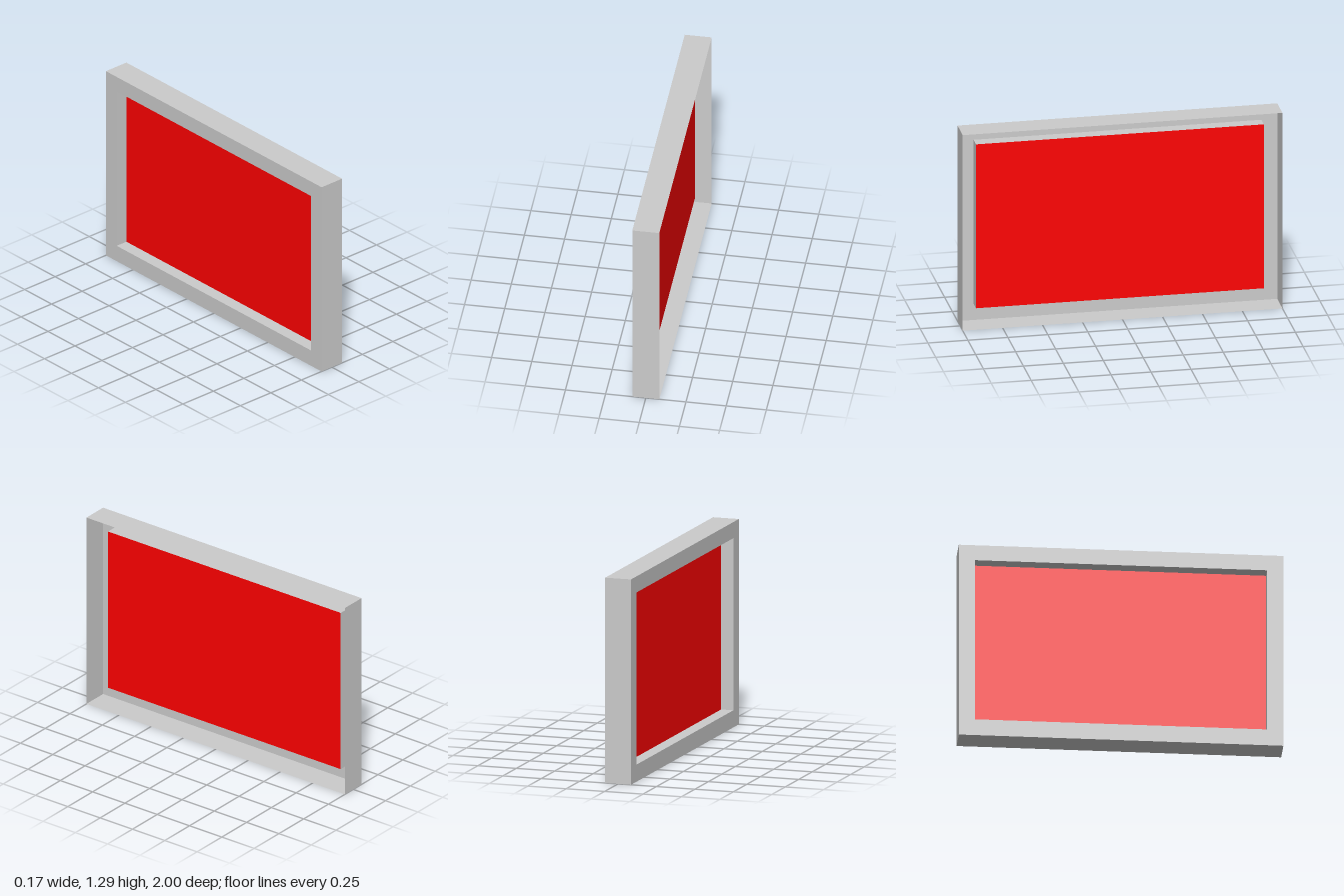
import * as THREE from 'three';

const grey = new THREE.MeshStandardMaterial({ color: 0xcccccc, side: THREE.DoubleSide });
const red = new THREE.MeshStandardMaterial({ color: 0xff0000, side: THREE.DoubleSide });

const BACK = -0.084, OPEN = 0.084, PANEL = -0.004;
const outer = { y0: 0, y1: 1.286, z: 1 };
const inner = { y0: 0.107, y1: 1.185, z: 0.9 };

// Four thin walls around a rectangle, running from x0 to x1
function sleeve(name, r, x0, x1) {
  const group = new THREE.Group();
  group.name = name;
  const depth = x1 - x0, height = r.y1 - r.y0, cx = (x0 + x1) / 2, cy = (r.y0 + r.y1) / 2;
  for (const s of [1, -1]) {
    const flat = new THREE.Mesh(new THREE.PlaneGeometry(depth, 2 * r.z), grey);
    flat.name = s > 0 ? 'topWall' : 'bottomWall';
    flat.rotation.x = -s * Math.PI / 2;
    flat.position.set(cx, s > 0 ? r.y1 : r.y0, 0);
    const side = new THREE.Mesh(new THREE.PlaneGeometry(depth, height), grey);
    side.name = s > 0 ? 'frontWall' : 'rearWall';
    side.rotation.y = s > 0 ? 0 : Math.PI;
    side.position.set(cx, cy, s * r.z);
    group.add(flat, side);
  }
  return group;
}

// Flat sheet across the x axis, facing -x
function sheet(name, geometry, material, x) {
  const mesh = new THREE.Mesh(geometry, material);
  mesh.name = name;
  mesh.rotation.y = -Math.PI / 2;
  mesh.position.x = x;
  return mesh;
}

const corners = (r) => [[-r.z, r.y0], [r.z, r.y0], [r.z, r.y1], [-r.z, r.y1]]
  .map(([a, b]) => new THREE.Vector2(a, b));

export function createModel() {
  const model = new THREE.Group();
  model.name = 'framedScreen';

  // Outer casing, open on the +x side
  model.add(sleeve('casing', outer, BACK, OPEN));

  // Bezel with its opening, and the recess leading in to the screen
  const bezel = new THREE.Shape(corners(outer));
  bezel.holes.push(new THREE.Path(corners(inner)));
  model.add(sheet('bezel', new THREE.ShapeGeometry(bezel), grey, BACK));
  model.add(sleeve('recess', inner, BACK, PANEL));

  // Screen panel closing the recess
  model.add(sheet('screen', new THREE.ShapeGeometry(new THREE.Shape(corners(inner))), red, PANEL));
  return model;
}
